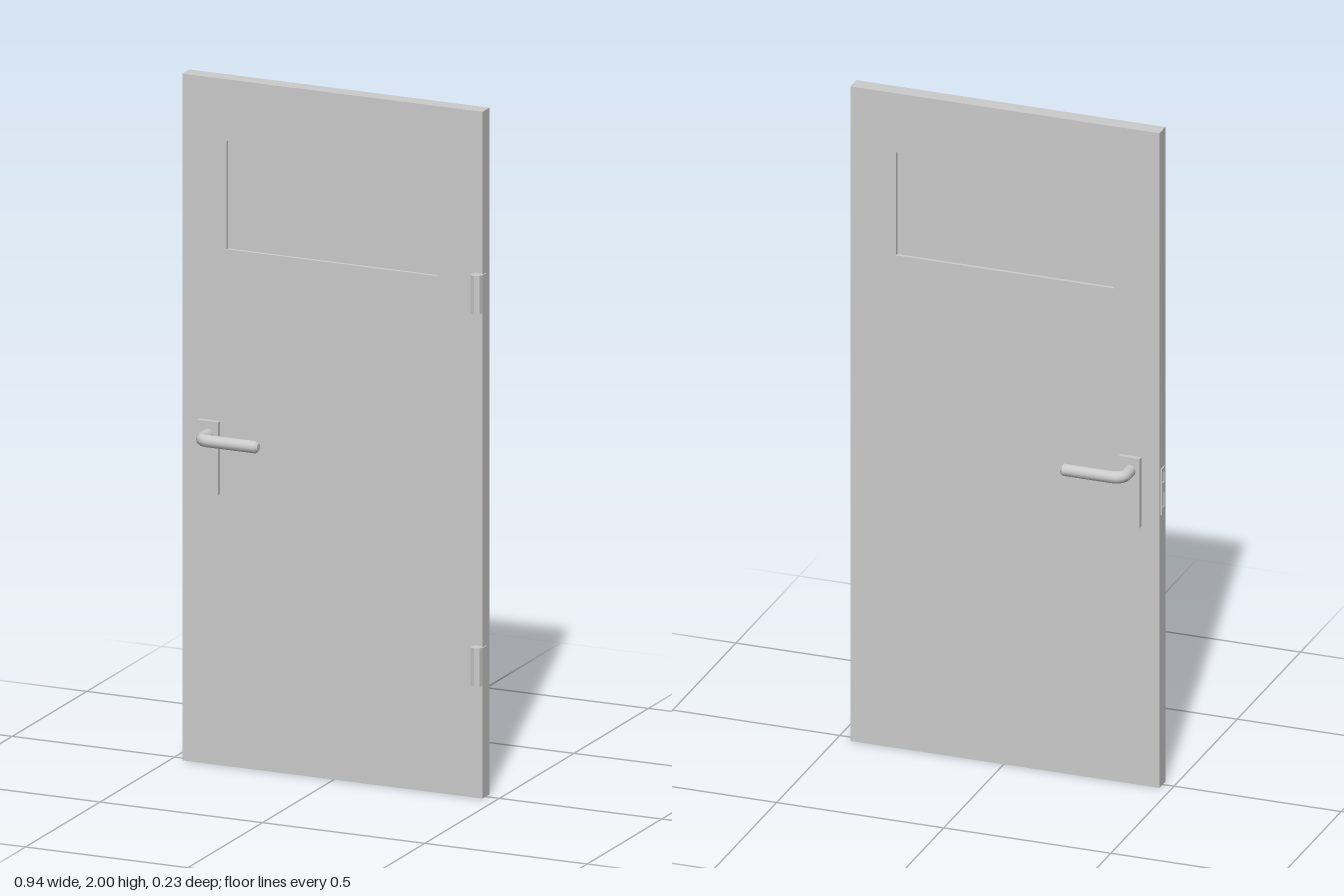
import * as THREE from 'three';

const material = new THREE.MeshStandardMaterial({ color: 0xcccccc });

function add(parent, name, geometry, x = 0, y = 0, z = 0, mat = material) {
  const mesh = new THREE.Mesh(geometry, mat);
  mesh.name = name;
  mesh.position.set(x, y, z);
  parent.add(mesh);
  return mesh;
}

function rectangle(PathClass, x0, x1, y0, y1) {
  return new PathClass([[x0, y0], [x1, y0], [x1, y1], [x0, y1]].map(p => new THREE.Vector2(...p)));
}

// L-shaped lever with a chamfered tip, reaching out of the door along dir * z
function makeHandle(dir) {
  const group = new THREE.Group();
  const r = 0.018, x = -0.382, reach = 0.095, bend = 0.032, tipX = -0.207;
  const v = (px, pz) => new THREE.Vector3(px, 0, dir * pz);
  const path = new THREE.CurvePath();
  path.add(new THREE.LineCurve3(v(x, 0.01), v(x, reach - bend)));
  path.add(new THREE.QuadraticBezierCurve3(v(x, reach - bend), v(x, reach), v(x + bend, reach)));
  path.add(new THREE.LineCurve3(v(x + bend, reach), v(tipX, reach)));
  add(group, 'lever', new THREE.TubeGeometry(path, 48, r, 12));
  const tip = new THREE.CylinderGeometry(0.011, r, 0.008, 12).rotateZ(-Math.PI / 2);
  add(group, 'leverTip', tip, tipX + 0.004, 0, dir * reach);
  group.position.y = 0.962;
  return group;
}

export function createModel() {
  const model = new THREE.Group();
  const door = new THREE.Group();
  door.name = 'door';
  door.position.z = -0.002;
  model.add(door);

  // Leaf with a rectangular window opening
  const depth = 0.047;
  const leaf = rectangle(THREE.Shape, -0.466, 0.458, 0, 2);
  leaf.holes.push(rectangle(THREE.Path, -0.33, 0.322, 1.505, 1.82));
  add(door, 'leaf', new THREE.ExtrudeGeometry(leaf, { depth, bevelEnabled: false }), 0, 0, -depth / 2);

  // Window pane, slightly recessed on both faces
  add(door, 'windowPane', new THREE.BoxGeometry(0.652, 0.315, 0.027), -0.004, 1.6625, 0);

  // Backplate and lever on each face
  for (const dir of [1, -1]) {
    const side = dir > 0 ? 'front' : 'back';
    add(door, side + 'Backplate', new THREE.BoxGeometry(0.062, 0.212, 0.014), -0.381, 0.896, dir * 0.03);
    const handle = makeHandle(dir);
    handle.name = side + 'Handle';
    door.add(handle);
  }

  // Lock plate on the opening edge, with openings for the latch and bolt
  const plate = rectangle(THREE.Shape, -0.014, 0.014, 0.83, 0.97);
  plate.holes.push(rectangle(THREE.Path, -0.008, 0.008, 0.925, 0.955));
  plate.holes.push(rectangle(THREE.Path, -0.008, 0.008, 0.85, 0.895));
  const plateGeometry = new THREE.ExtrudeGeometry(plate, { depth: 0.004, bevelEnabled: false });
  add(door, 'lockPlate', plateGeometry.rotateY(-Math.PI / 2), -0.4655);

  // Hinges: faceted knuckle and a thin leaf fixed to the door edge
  const knuckleMaterial = material.clone();
  knuckleMaterial.flatShading = true;
  for (const [name, y] of [['upperHinge', 1.475], ['lowerHinge', 0.39]]) {
    const hinge = new THREE.Group();
    hinge.name = name;
    hinge.position.y = y;
    add(hinge, 'knuckle', new THREE.CylinderGeometry(0.017, 0.017, 0.112, 7), 0.45, 0, 0.046, knuckleMaterial);
    add(hinge, 'hingeLeaf', new THREE.BoxGeometry(0.004, 0.085, 0.04), 0.459, 0.008, 0.023);
    door.add(hinge);
  }
  return model;
}
